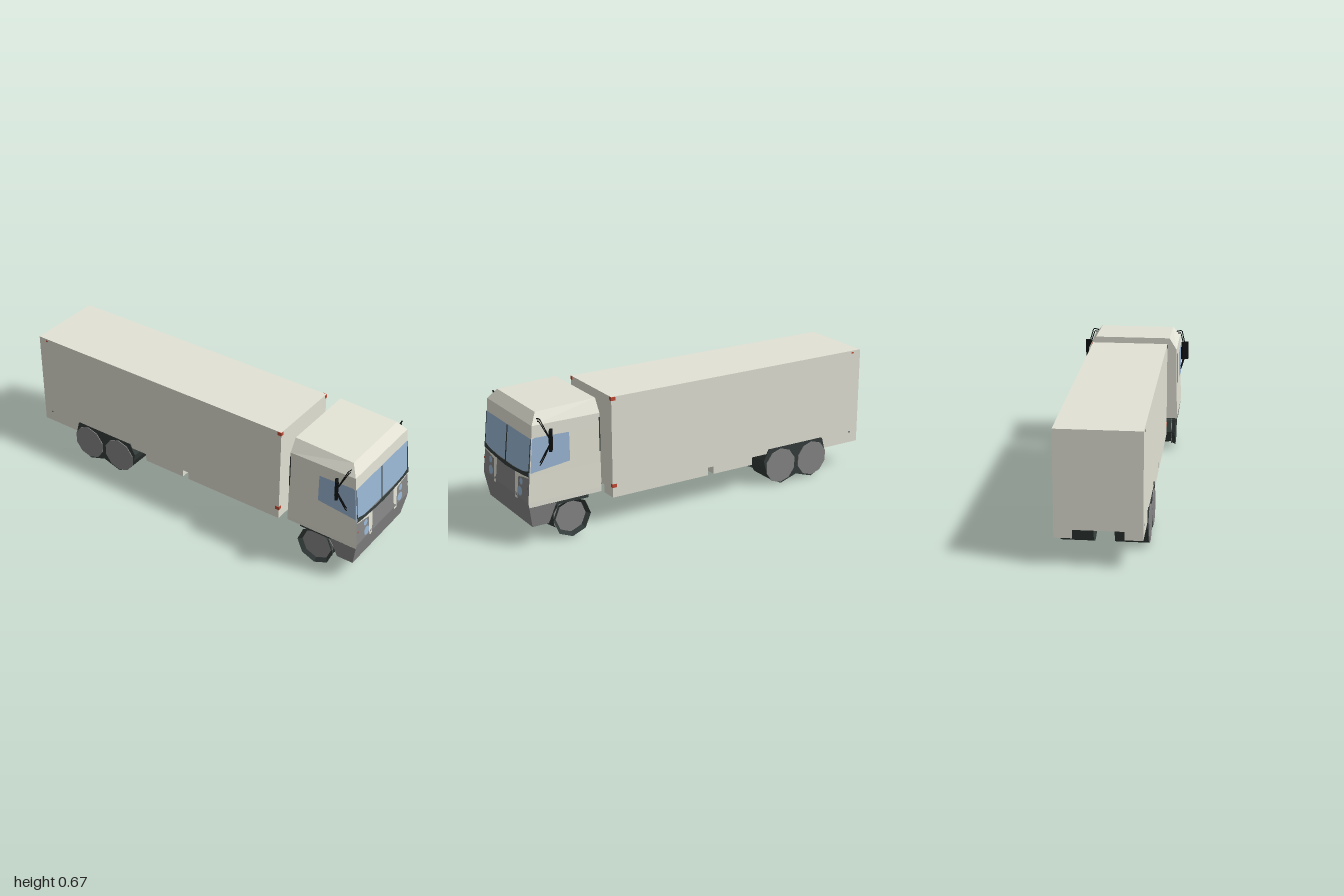
import * as THREE from 'three';

const mat = (name, color) => {
  const m = new THREE.MeshStandardMaterial({ color, side: THREE.DoubleSide });
  m.name = name;
  return m;
};

export function createModel() {
  const cream = mat('cream paint', 0xe3e2d5), grey = mat('grey plastic', 0x868686);
  const glass = mat('blue glass', 0x9ab7d4), dark = mat('dark rubber', 0x343d3b);
  const black = mat('black trim', 0x0d1011), red = mat('red marker', 0xc04a35);
  const truck = new THREE.Group();
  truck.name = 'truck';

  const add = (name, geometry, material) => {
    const flat = geometry.index ? geometry.toNonIndexed() : geometry;
    flat.computeVertexNormals();
    const mesh = new THREE.Mesh(flat, material);
    mesh.name = name;
    truck.add(mesh);
    return mesh;
  };
  // Box from minimum and maximum corners
  const box = (name, a, b, material) => {
    const g = new THREE.BoxGeometry(b[0] - a[0], b[1] - a[1], b[2] - a[2]);
    g.translate((a[0] + b[0]) / 2, (a[1] + b[1]) / 2, (a[2] + b[2]) / 2);
    return add(name, g, material);
  };
  // Open-bottomed loft of rectangles: rows are [rear y, front y, rear x, front x, half width]
  // Walls: 0 front, 1 right, 2 rear, 3 left
  const loft = (name, rows, frontMats, bodyMat, walls, roof) => {
    const pos = [], g = new THREE.BufferGeometry();
    const quad = (a, b, c, d, m) => {
      g.addGroup(pos.length / 3, 6, m);
      [a, b, c, a, c, d].forEach(p => pos.push(...p));
    };
    const rings = rows.map(([yr, yf, x0, x1, h]) =>
      [[x1, yf, h], [x1, yf, -h], [x0, yr, -h], [x0, yr, h]]);
    for (let r = 0; r < rings.length - 1; r++)
      for (const i of walls) {
        const j = (i + 1) % 4, lo = rings[r], hi = rings[r + 1];
        quad(lo[i], lo[j], hi[j], hi[i], i === 0 ? r + 1 : 0);
      }
    if (roof) quad(...rings[rings.length - 1], 0);
    g.setAttribute('position', new THREE.Float32BufferAttribute(pos, 3));
    return add(name, g, [bodyMat, ...frontMats]);
  };

  // Cab shell and bumper
  const cabRows = [
    [0.213, 0.21, 0.61, 0.996, 0.25], [0.235, 0.235, 0.61, 1.0, 0.25],
    [0.365, 0.365, 0.61, 0.987, 0.247], [0.545, 0.545, 0.61, 0.97, 0.245],
    [0.61, 0.61, 0.61, 0.965, 0.244], [0.674, 0.661, 0.61, 0.927, 0.204],
  ];
  loft('cab', cabRows, [grey, grey, glass, cream, cream], cream, [0, 1, 2, 3], true);
  loft('bumper', [[0.105, 0.105, 0.89, 0.977, 0.236], [0.21, 0.21, 0.853, 0.996, 0.25]], [grey], grey, [0, 1, 3], false);

  // Thin plates following the cab front or its sides
  const follow = (y, column) => {
    let r = 0;
    while (r < cabRows.length - 2 && y > cabRows[r + 1][1]) r++;
    const a = cabRows[r], b = cabRows[r + 1];
    return THREE.MathUtils.lerp(a[column], b[column], (y - a[1]) / (b[1] - a[1]));
  };
  const outlineShape = pts => new THREE.Shape(pts.map(p => new THREE.Vector2(...p)));
  const frontPlate = (name, pts, material, offset = 0.003) => {
    const g = new THREE.ShapeGeometry(outlineShape(pts)), p = g.attributes.position;
    for (let i = 0; i < p.count; i++) {
      const z = -p.getX(i), y = p.getY(i);
      p.setXYZ(i, follow(y, 3) + offset, y, z);
    }
    add(name, g, material);
  };
  const sidePlate = (name, pts, s, material) => {
    const g = new THREE.ShapeGeometry(outlineShape(pts)), p = g.attributes.position;
    for (let i = 0; i < p.count; i++) p.setZ(i, s * (follow(p.getY(i), 4) + 0.003));
    add(name, g, material);
  };
  frontPlate('windscreenSill', [[-0.247, 0.364], [-0.19, 0.357], [-0.1, 0.35], [0, 0.345], [0.1, 0.35],
    [0.19, 0.357], [0.247, 0.364], [0.246, 0.392], [0.19, 0.376], [0.08, 0.366], [-0.08, 0.366],
    [-0.19, 0.376], [-0.246, 0.392]], dark, 0.005);
  frontPlate('windscreenDivider', [[-0.016, 0.36], [-0.004, 0.36], [-0.001, 0.545], [-0.011, 0.545]], dark);

  const disc = (cx, cy, rx, ry, n) => Array.from({ length: n }, (_, i) => {
    const a = (i + 0.5) / n * Math.PI * 2;
    return [cx + rx * Math.cos(a), cy + ry * Math.sin(a)];
  });
  for (const s of [1, -1]) {
    sidePlate('sideWindow', [[0.775, 0.405], [0.983, 0.38], [0.968, 0.545], [0.955, 0.552], [0.775, 0.548]], s, glass);
    sidePlate('rearVent', [[0.61, 0.42], [0.616, 0.42], [0.616, 0.59], [0.61, 0.59]], s, dark);
    frontPlate('windscreenPillar', [[s * 0.238, 0.385], [s * 0.246, 0.385], [s * 0.244, 0.545], [s * 0.239, 0.545]], dark);
    frontPlate('lampSurround', [[s * 0.243, 0.366], [s * 0.1, 0.352], [s * 0.107, 0.225], [s * 0.115, 0.22],
      [s * 0.132, 0.222], [s * 0.137, 0.335], [s * 0.18, 0.345], [s * 0.243, 0.355]], cream);
    frontPlate('upperLamp', disc(s * 0.17, 0.32, 0.016, 0.017, 12), glass, 0.004);
    frontPlate('lowerLamp', disc(s * 0.162, 0.27, 0.025, 0.024, 8), glass, 0.004);
    frontPlate('frontMarker', disc(s * 0.242, 0.307, 0.006, 0.007, 4), red, 0.004);

    // Mirror and its paired stays
    const mirror = new THREE.BoxGeometry(0.014, 0.1, 0.04);
    mirror.rotateY(s * 0.6);
    add('mirror', mirror, black).position.set(0.885, 0.535, s * 0.275);
    for (const d of [0, 0.014]) {
      const path = [[0.93, 0.635 - d, 0.225], [0.93, 0.643 - d, 0.255 - d / 2], [0.885, 0.53, 0.285 - d / 2],
        [0.93, 0.415 + d, 0.252], [0.935, 0.41 + d, 0.24]].map(p => new THREE.Vector3(p[0], p[1], s * p[2]));
      const curve = new THREE.CurvePath();
      for (let i = 1; i < path.length; i++) curve.add(new THREE.LineCurve3(path[i - 1], path[i]));
      add('mirrorStay', new THREE.TubeGeometry(curve, 24, 0.003, 4), black);
    }
  }

  // Trailer as an open-bottomed shell of thin panels
  const cz = -0.006, hw = 0.204, t = 0.004, x0 = -1, x1 = 0.526, top = 0.663, floor = 0.186;
  box('trailerRoof', [x0, top - t, cz - hw], [x1, top, cz + hw], cream);
  box('trailerRearWall', [x0, floor, cz - hw], [x0 + t, top, cz + hw], cream);
  box('trailerFrontWall', [x1 - t, floor, cz - hw], [x1, top, cz + hw], cream);
  box('coupling', [0.52, 0.175, -0.09], [0.612, 0.238, 0.085], dark);

  // Outline of the twin rear wheels and their guard, open along the top
  const outline = [[-0.75, 0.212], [-0.76, 0.205], [-0.785, 0.115], [-0.75, 0.035], [-0.69, 0.006], [-0.59, 0.038],
    [-0.49, 0.006], [-0.43, 0.035], [-0.39, 0.105], [-0.378, 0.15], [-0.41, 0.212]];

  for (const s of [1, -1]) {
    const side = (name, xa, xb, ya, yb, inner, outer, m) =>
      box(name, [xa, ya, cz + Math.min(s * inner, s * outer)], [xb, yb, cz + Math.max(s * inner, s * outer)], m);
    side('trailerSideWall', x0, x1, floor, top, hw - t, hw, cream);

    // Skirts with a short return at each end
    for (const [a, b] of [[x0, -0.765], [-0.305, -0.065], [-0.03, x1]]) {
      side('sideSkirt', a, b, 0.145, floor, hw - t, hw, cream);
      for (const x of [a, b - t]) side('skirtReturn', x, x + t, 0.145, floor, hw - 0.085, hw, cream);
    }
    for (const y of [0.644, 0.197]) {
      side('cornerMarker', 0.505, 0.528, y, y + 0.018, hw - 0.015, hw + 0.003, red);
      side('rearMarker', -0.955, -0.943, y + 0.003, y + 0.011, hw - 0.003, hw + 0.002, y > 0.5 ? red : grey);
    }

    // Twin rear wheels: outer face and tread, open towards the middle
    const face = new THREE.ShapeGeometry(outlineShape(outline));
    face.translate(0, 0, cz + s * 0.209);
    add('rearWheelFace', face, dark);
    const tread = new THREE.PlaneGeometry(1, 1, outline.length - 1, 1), p = tread.attributes.position;
    for (let i = 0; i < p.count; i++) {
      const [x, y] = outline[i % outline.length];
      p.setXYZ(i, x, y, cz + s * (i < outline.length ? 0.209 : 0.05));
    }
    add('rearWheelTread', tread, dark);

    const hub = (x, z) => {
      const g = new THREE.CylinderGeometry(0.094, 0.094, 0.004, 10);
      g.rotateX(Math.PI / 2);
      add('wheelDisc', g, grey).position.set(x, 0.108, z);
    };
    hub(-0.69, cz + s * 0.211);
    hub(-0.485, cz + s * 0.211);

    // Front wheel: eight-sided tyre tapering outwards to a flared rim
    const profile = [[0, 0.068], [0.1, 0.068], [0.1, 0.092], [0.082, 0.22], [0.101, 0.236], [0.09, 0.214]];
    const tyre = new THREE.LatheGeometry(profile.map(q => new THREE.Vector2(...q)), 8);
    tyre.rotateX(s * Math.PI / 2);
    add('frontWheel', tyre, dark).position.set(0.765, 0.108, 0);
    hub(0.765, s * 0.216);
    box('wheelArch', [0.675, 0.19, s > 0 ? 0.07 : -0.235], [0.855, 0.213, s > 0 ? 0.235 : -0.07], dark);
  }
  return truck;
}
